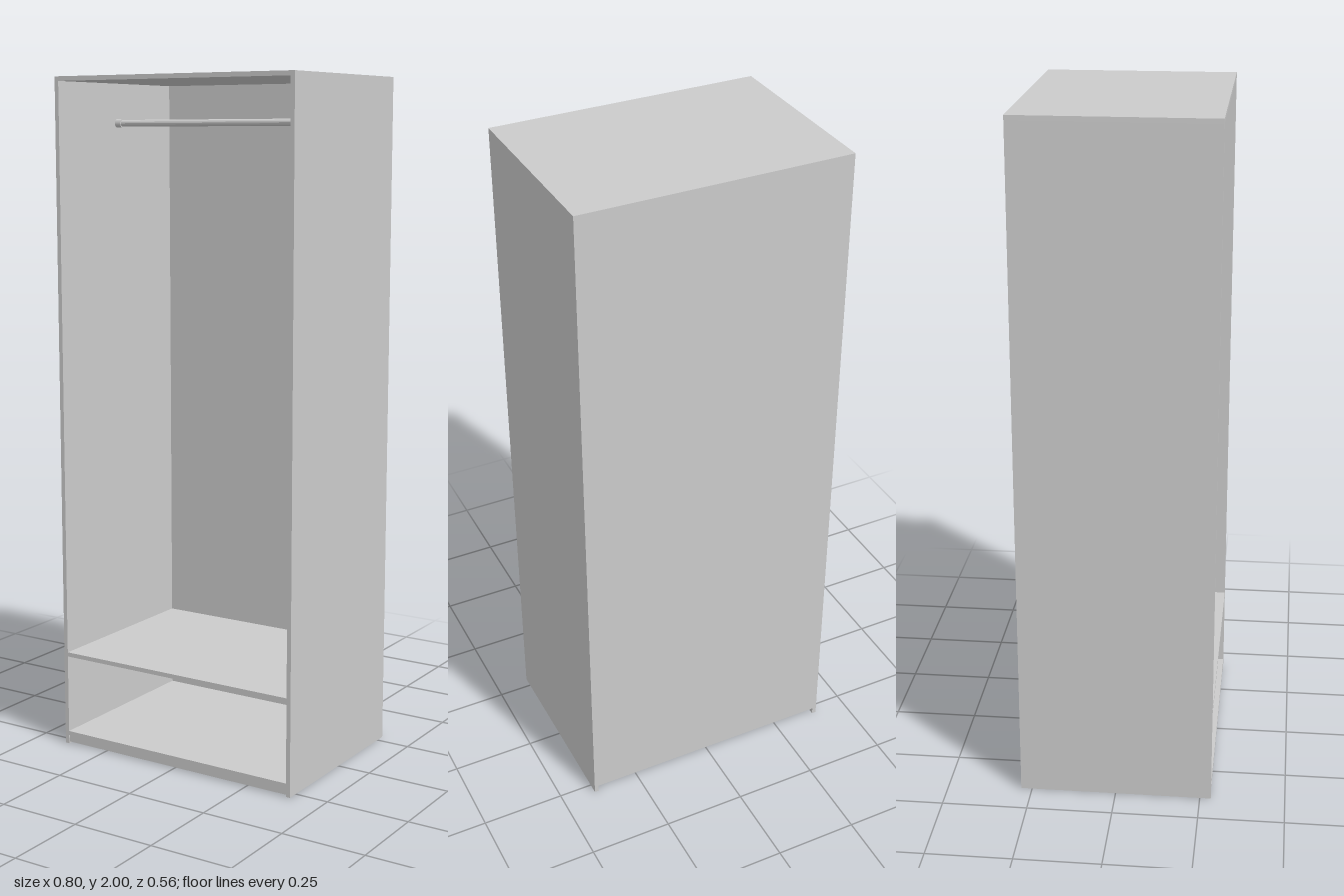
import * as THREE from 'three';

const W = 0.795, H = 2, D = 0.565; // overall size
const T = 0.013;                   // board thickness
const BACK = 0.006;                // back board thickness

export function createModel() {
  const group = new THREE.Group();
  group.name = 'wardrobe';
  const material = new THREE.MeshStandardMaterial({ color: 0xcccccc });
  const railMaterial = new THREE.MeshStandardMaterial({ color: 0xcccccc, flatShading: true });

  const add = (name, geometry, x, y, z, mat = material) => {
    const mesh = new THREE.Mesh(geometry, mat);
    mesh.name = name;
    mesh.position.set(x, y, z);
    group.add(mesh);
    return mesh;
  };
  const board = (name, w, h, d, x, y, z) => add(name, new THREE.BoxGeometry(w, h, d), x, y, z);

  const innerW = W - 2 * T;
  const innerD = D - BACK;

  // Carcass: top board resting on two sides
  board('topPanel', W, T, D, 0, H - T / 2, 0);
  for (const [name, s] of [['leftSide', 1], ['rightSide', -1]]) {
    board(name, T, H - T, D, s * (W - T) / 2, (H - T) / 2, 0);
  }

  // Back board, stopping just above the floor
  const backBottom = 0.022;
  board('backPanel', innerW, H - T - backBottom, BACK,
    0, (H - T + backBottom) / 2, -D / 2 + BACK / 2);

  // Floor board and raised shelf
  board('bottomPanel', innerW, T, innerD, 0, 0.033, BACK / 2);
  board('shelf', innerW, T, innerD, 0, 0.283, BACK / 2);

  // Low plinth below the floor board
  board('plinth', innerW, 0.0215, T, 0, 0.01575, D / 2 - T / 2 - 0.003);

  // Hanging rail held by a socket at each end
  const railY = 1.87;
  add('hangingRail', new THREE.CylinderGeometry(0.01, 0.01, innerW - 0.006, 16),
    0, railY, 0, railMaterial).rotation.z = Math.PI / 2;
  for (const [name, s] of [['leftRailSocket', 1], ['rightRailSocket', -1]]) {
    add(name, new THREE.CylinderGeometry(0.013, 0.013, 0.02, 16),
      s * (innerW / 2 - 0.01), railY, 0, railMaterial).rotation.z = Math.PI / 2;
  }

  return group;
}
